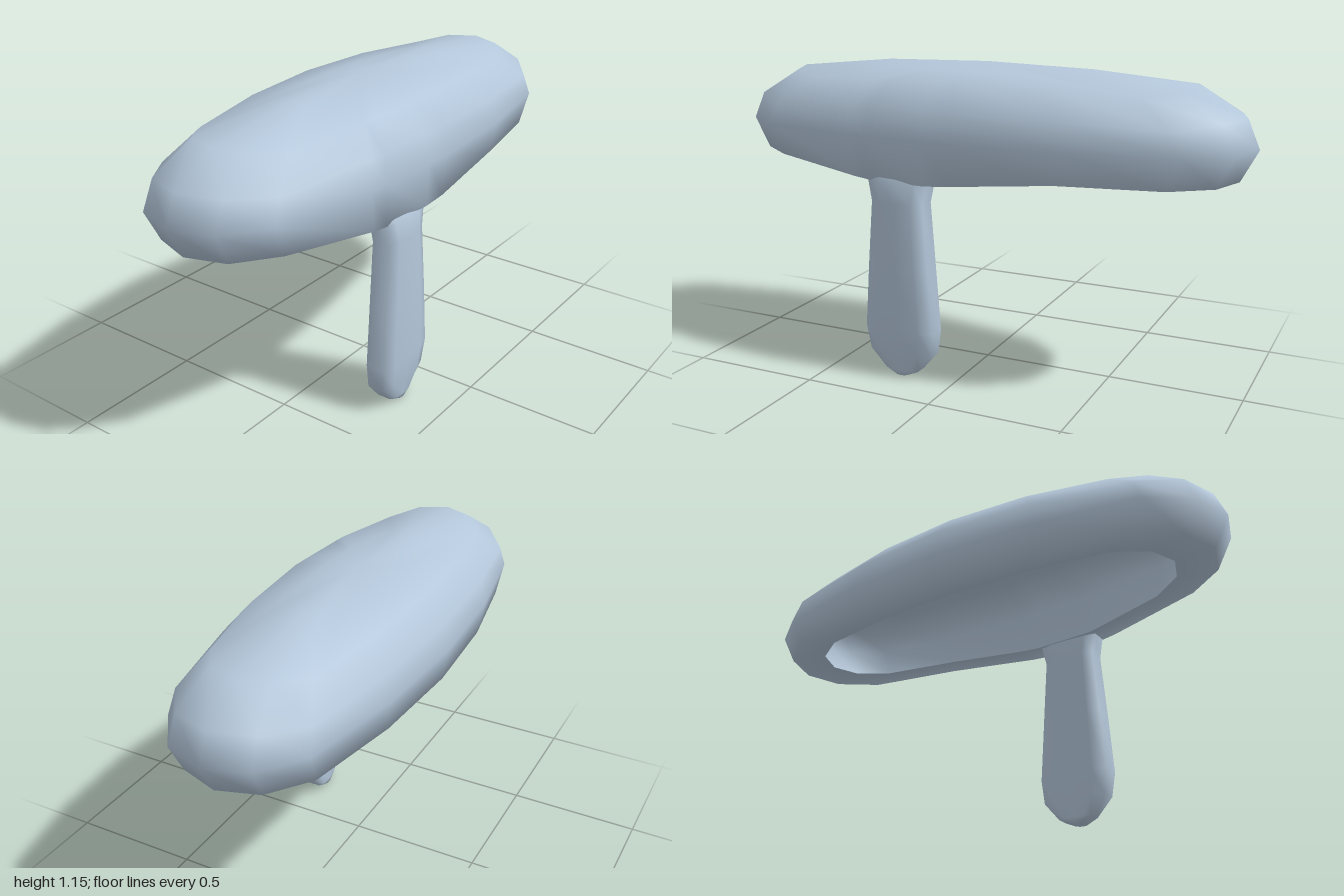
import * as THREE from 'three';

// Smooth surface through closed rings (ordered +x, +z, -x, -z), with optional end points
function loft(rings, startTip, endTip) {
  const n = rings[0].length;
  const pos = rings.flat(2);
  const idx = [];
  for (let r = 0; r < rings.length - 1; r++) {
    for (let i = 0; i < n; i++) {
      const j = (i + 1) % n;
      const a = r * n + i, b = r * n + j, c = a + n, d = b + n;
      idx.push(a, b, c, b, d, c);
    }
  }
  if (startTip) {
    const t = pos.length / 3;
    pos.push(...startTip);
    for (let i = 0; i < n; i++) idx.push(t, (i + 1) % n, i);
  }
  if (endTip) {
    const t = pos.length / 3, base = (rings.length - 1) * n;
    pos.push(...endTip);
    for (let i = 0; i < n; i++) idx.push(base + i, base + (i + 1) % n, t);
  }
  const g = new THREE.BufferGeometry();
  g.setAttribute('position', new THREE.Float32BufferAttribute(pos, 3));
  g.setIndex(idx);
  g.computeVertexNormals();
  return g;
}

// Plan outline on a unit frame: x, z, and how much the corner dips
const quarter = [[1, 0, 0], [0.95, 0.15, 0.2], [0.8, 0.26, 1], [0.41, 0.33, 0.25]];
const mid = [0, 0.355, 0];
const flipX = ([x, z, d]) => [-x, z, d];
const flipZ = ([x, z, d]) => [x, -z, d];
const half = [...quarter, mid, ...quarter.map(flipX).reverse()];
const back = half.slice(1, -1).map(flipZ).reverse();
// two extra columns at the front where the drip leaves the rim
const front = [...half.slice(0, 5), [-0.1, 0.35, 0.05], [-0.34, 0.335, 0.2], ...half.slice(5)];
const plan = [...front, ...back];

// Lowering of the front rim towards the drip
function sag(x, z) {
  if (z <= 0.13) return 0;
  const t = x > -0.2 ? (0.4 - x) / 0.49 : (x + 0.72) / 0.39;
  return 0.045 * THREE.MathUtils.clamp(t, 0, 1);
}

// Ring of the cap: y, x half-size, z half-size, corner dip, slope towards z, rim sag
function capRing([y, sx, sz, dip, slope, s]) {
  return plan.map(([px, pz, d]) => {
    const x = px * sx, z = pz * sz / 0.355;
    const drop = s * sag(x, z);
    return [x, y - dip * d - slope * Math.abs(pz) / 0.355 - drop, z + 0.18 * drop];
  });
}

export function createModel() {
  const group = new THREE.Group();
  const glaze = new THREE.MeshStandardMaterial({ color: 0xb4c7da });
  glaze.name = 'pale blue glaze';
  const add = (name, geometry) => {
    const mesh = new THREE.Mesh(geometry, glaze);
    mesh.name = name;
    group.add(mesh);
  };

  // Outer dome, ending in the flat rim underneath
  const rimEdge = [0.79, 0.79, 0.245, 0, 0, 1];
  const outer = [
    [1.145, 0.41, 0.135, 0.006, 0.015, 0],
    [1.105, 0.8, 0.26, 0.021, 0, 0],
    [1.01, 0.955, 0.34, 0.022, 0, 0],
    [0.905, 1, 0.355, 0, 0, 0],
    [0.79, 0.94, 0.338, 0, 0, 1],
    rimEdge,
  ];
  add('capOuter', loft(outer.map(capRing), [0, 1.155, 0], null));

  // Hollow underside
  const inner = [
    rimEdge,
    [0.9, 0.83, 0.252, 0, 0, 0],
    [0.98, 0.79, 0.238, 0.01, 0, 0],
    [1.035, 0.67, 0.18, 0.018, 0, 0],
    [1.06, 0.35, 0.1, 0.005, 0.006, 0],
  ];
  add('capHollow', loft(inner.map(capRing), null, [0, 1.065, 0]));

  // Hanging drip: y, half width, back z, front z
  const sections = [
    [0.79, 0.12, 0.26, 0.315],
    [0.745, 0.12, 0.25, 0.342],
    [0.67, 0.103, 0.25, 0.35],
    [0.42, 0.122, 0.25, 0.354],
    [0.19, 0.139, 0.25, 0.354],
    [0.095, 0.126, 0.25, 0.344],
    [0.024, 0.066, 0.254, 0.333],
    [0.006, 0.025, 0.256, 0.33],
  ];
  // across the width, and from back (0) to front (1)
  const outline = [[1, 0.14], [1, 0.8], [0.6, 0.96], [0, 1], [-0.6, 0.96],
    [-1, 0.8], [-1, 0.14], [-0.6, 0.02], [0, 0], [0.6, 0.02]];
  const dripRings = sections.map(([y, w, zb, zf]) =>
    outline.map(([u, v]) => [u * w - 0.208, y, zb + v * (zf - zb)]));
  add('drip', loft(dripRings, null, [-0.206, 0, 0.292]));

  return group;
}
